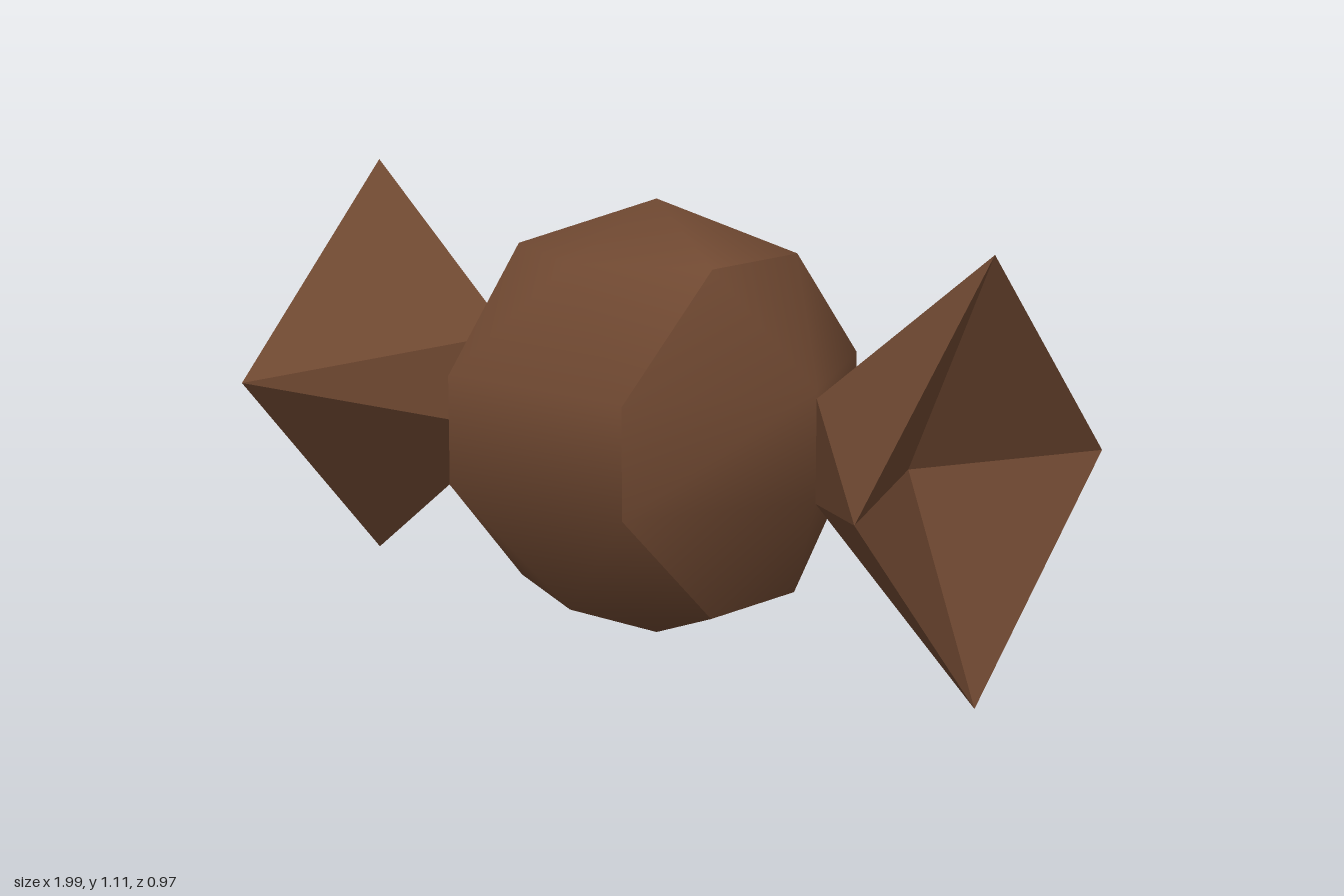
import * as THREE from 'three';

const brown = new THREE.MeshStandardMaterial({ color: 0x6f4831 });
brown.name = 'chocolate brown';

function namedMesh(geometry, name) {
  const mesh = new THREE.Mesh(geometry, brown);
  mesh.name = name;
  return mesh;
}

// Hexagonal ring; the half-turned rings have corners at 30, 90, ... degrees
function ring(y, rx, rz, turned) {
  return Array.from({ length: 6 }, (_, k) => {
    const a = (k + (turned ? 0.5 : 0)) * Math.PI / 3;
    return new THREE.Vector3(rx * Math.cos(a), y, rz * Math.sin(a));
  });
}

// Faceted ball: two poles, two small turned rings, two wide rings
function bodyFaces() {
  const top = new THREE.Vector3(0, 1.1, 0);
  const bottom = new THREE.Vector3(0, 0.003, 0);
  const points = [
    top,
    ...ring(0.978, 0.36, 0.32, true),
    ...ring(0.69, 0.5, 0.514, false),
    ...ring(0.42, 0.5, 0.514, false),
    ...ring(0.13, 0.36, 0.32, true),
    bottom,
  ];
  // pull the wide ring's side corners out slightly
  points.forEach((p) => {
    if (Math.abs(p.z) > 0.4) p.x = Math.sign(p.x) * 0.28;
  });
  const at = (r, k) => 1 + r * 6 + ((k + 6) % 6);
  const faces = [];
  for (let k = 0; k < 6; k++) {
    faces.push(
      [0, at(0, k + 1), at(0, k)],
      [at(0, k), at(0, k + 1), at(1, k + 1)],
      [at(0, k), at(1, k + 1), at(1, k)],
      [at(1, k), at(1, k + 1), at(2, k + 1)],
      [at(1, k), at(2, k + 1), at(2, k)],
      [at(2, k), at(2, k + 1), at(3, k)],
      [at(2, k + 1), at(3, k + 1), at(3, k)],
      [25, at(3, k), at(3, k + 1)],
    );
  }
  return { points, faces };
}

// Smooth within one set of faces, sharp where the sets meet
function smoothGeometry(points, faces) {
  const geometry = new THREE.BufferGeometry().setFromPoints(points);
  geometry.setIndex(faces.flat());
  geometry.computeVertexNormals();
  return geometry;
}

// Flared wrapper end: wedge-shaped neck, diamond rim, hollowed mouth
function tailGeometry() {
  const neckTop = [0.5, 0.67, 0];
  const neckBottom = [0.5, 0.415, 0];
  const rimTop = [0.997, 1.065, 0];
  const rimBottom = [0.97, 0.004, 0];
  const rimSide = [0.984, 0.535, 0.487];
  const hollow = [0.77, 0.54, 0];
  const half = [
    [neckTop, rimSide, rimTop],
    [neckTop, neckBottom, rimSide],
    [neckBottom, rimBottom, rimSide],
    [hollow, rimTop, rimSide],
    [hollow, rimSide, rimBottom],
  ];
  const mirrored = half.map(([a, b, c]) => [a, c, b].map(([x, y, z]) => [x, y, -z]));
  const geometry = new THREE.BufferGeometry();
  geometry.setAttribute('position', new THREE.Float32BufferAttribute([...half, ...mirrored].flat(2), 3));
  geometry.computeVertexNormals();
  return geometry;
}

export function createModel() {
  const model = new THREE.Group();
  model.name = 'wrappedCandy';

  // Body: a smooth middle band and two smooth side caps
  const { points, faces } = bodyFaces();
  const onCap = (face) => face.some((i) => Math.abs(points[i].x) > 0.45);
  model.add(
    namedMesh(smoothGeometry(points, faces.filter((f) => !onCap(f))), 'bodyBand'),
    namedMesh(smoothGeometry(points, faces.filter(onCap)), 'bodySideCaps'),
  );

  // Wrapper ends: the second is the first turned half round
  const tail = tailGeometry();
  const left = namedMesh(tail, 'leftWrapperEnd');
  const right = namedMesh(tail, 'rightWrapperEnd');
  right.rotation.z = Math.PI;
  right.position.y = 1.12;
  model.add(left, right);
  return model;
}
